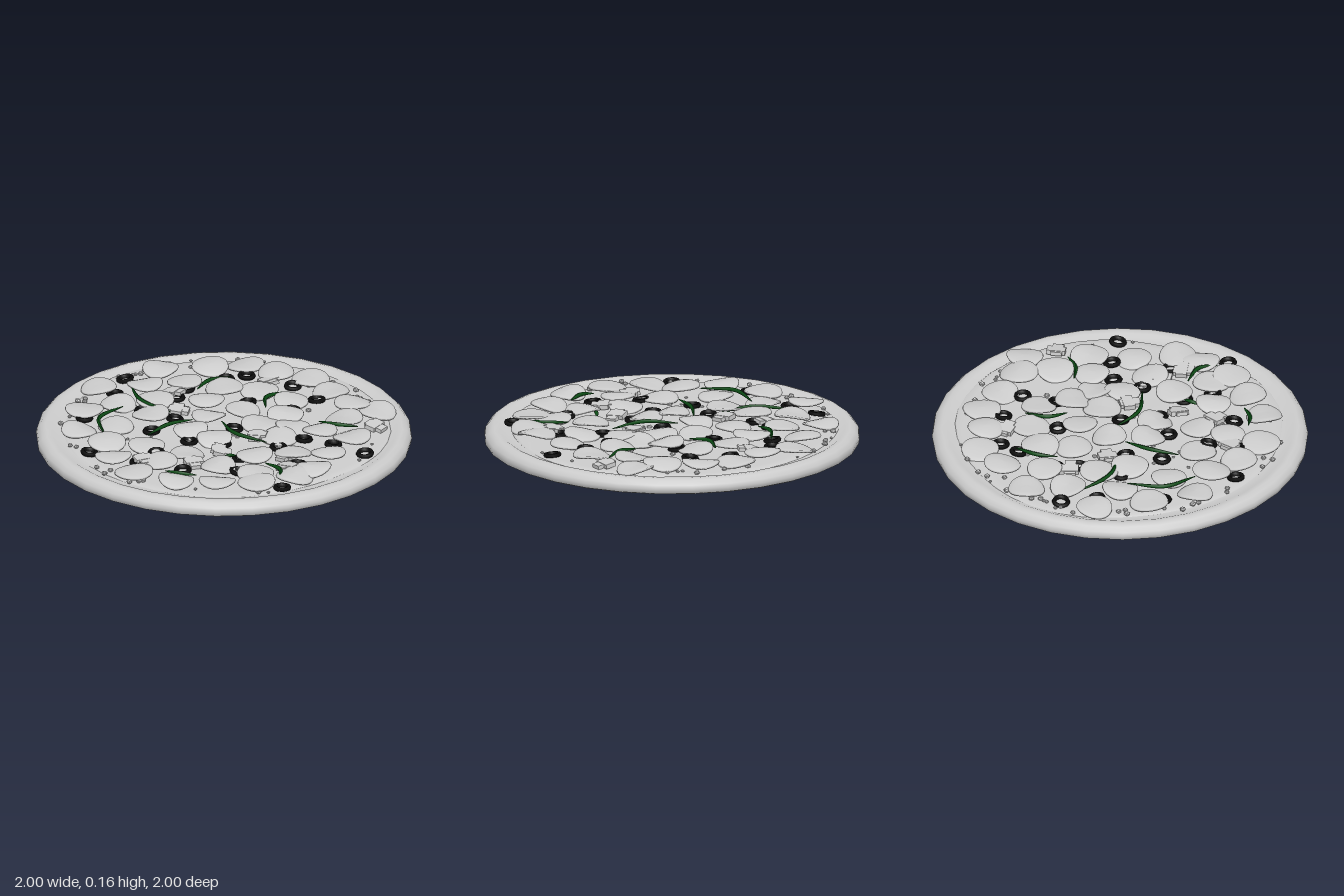
import * as THREE from 'three';

const grey = new THREE.MeshStandardMaterial({ color: 0xcccccc, side: THREE.DoubleSide });
const black = new THREE.MeshStandardMaterial({ color: 0x0c0c0c });
const green = new THREE.MeshStandardMaterial({ color: 0x0b4a14 });
const CHEESE_Y = 0.115;

// Small seeded generator for tilts and scatter
let seed = 7;
const rand = (a = 0, b = 1) => {
  seed = (seed * 16807) % 2147483647;
  return a + (b - a) * (seed / 2147483647);
};
const v2 = pairs => pairs.map(([x, y]) => new THREE.Vector2(x, y));

function add(parent, name, geometry, material, x = 0, y = 0, z = 0) {
  const mesh = new THREE.Mesh(geometry, material);
  mesh.name = name;
  mesh.position.set(x, y, z);
  parent.add(mesh);
  return mesh;
}

function deform(geometry, rule) {
  const p = geometry.attributes.position, v = new THREE.Vector3();
  for (let i = 0; i < p.count; i++) {
    v.fromBufferAttribute(p, i);
    rule(v);
    p.setXYZ(i, v.x, v.y, v.z);
  }
  geometry.computeVertexNormals();
  return geometry;
}

// Thin round slice, slightly domed and curled like a saddle
function sliceGeometry(radius) {
  const profile = [[0, -0.006], [0.6, -0.006], [0.97, -0.006], [1, 0], [0.97, 0.007], [0.7, 0.009], [0.35, 0.01], [0, 0.01]];
  const curl = rand(0.004, 0.013), phase = rand(0, 6.28), dome = rand(0, 0.012);
  return deform(new THREE.LatheGeometry(v2(profile.map(([r, y]) => [r * radius, y])), 24), v => {
    const r = Math.hypot(v.x, v.z) / radius, a = Math.atan2(v.z, v.x);
    v.y += curl * r * r * Math.cos(2 * a + phase) + dome * (1 - r * r);
  });
}

// Centres [x, z] of the toppings
const slices = [
  [-.17, -.8], [.235, -.755], [-.42, -.64], [.035, -.66], [.215, -.545], [.44, -.59], [.605, -.49],
  [-.615, -.47], [-.23, -.58], [-.065, -.47], [-.43, -.38], [-.2, -.36], [-.62, -.245], [.145, -.295],
  [.32, -.345], [.65, -.3], [.43, -.19], [.74, -.125], [-.715, -.09], [-.48, -.085], [-.185, -.06],
  [.01, -.13], [.2, -.07], [.47, .015], [.71, .065], [-.76, .12], [-.57, .12], [-.39, .135],
  [-.16, .1], [.15, .12], [.32, .135], [.685, .27], [-.68, .365], [-.385, .375], [-.15, .405],
  [.11, .315], [.25, .27], [.32, .405], [.52, .375], [.715, .43], [-.525, .52], [-.295, .57],
  [-.375, .665], [-.17, .74], [-.04, .74], [.17, .635], [.4, .57], [.03, .51]
];
const olives = [
  [.02, -.8], [-.145, -.7], [-.475, -.58], [-.18, -.44], [.175, -.49], [.06, -.44], [-.755, -.235],
  [-.325, -.215], [-.13, -.245], [.525, -.395], [.41, -.43], [.3, -.14], [.615, -.13], [-.65, .035],
  [-.5, .015], [-.27, .02], [.02, .06], [.59, .085], [-.16, .165], [.4, .1], [-.545, .27],
  [-.22, .37], [.03, .395], [.2, .41], [-.34, .48], [-.305, .79], [.315, .765], [.27, .565], [-.04, .625]
];
const chunks = [
  [.09, -.49], [-.05, -.3], [-.45, .25], [-.24, .24], [.58, .56], [-.03, .52], [-.62, .04], [.55, -.25], [-.12, .62], [.03, .22]
];
// Start, middle and end of each pepper strip
const strips = [
  [-.04, -.69, -.135, -.5, -.11, -.3], [-.25, -.525, -.45, -.49, -.56, -.33], [-.4, -.165, -.23, -.18, -.09, -.15],
  [.01, -.03, -.05, .14, .005, .335], [.19, -.42, .3, -.45, .43, -.42], [.3, 0, .38, -.085, .51, -.085],
  [-.64, .235, -.62, .31, -.555, .39], [.39, .32, .42, .42, .5, .51], [-.18, .52, -.19, .65, -.27, .725],
  [-.32, .33, -.27, .335, -.23, .345]
];

export function createModel() {
  seed = 7;
  const pizza = new THREE.Group();
  pizza.name = 'pizza';

  // Dough: bowed underside, upright rim, rounded lip and inner slope
  const dough = [
    [0, 0.004], [0.35, 0.01], [0.7, 0.025], [0.98, 0.044], [0.98, 0.044], [0.996, 0.052], [1, 0.075],
    [0.995, 0.095], [0.975, 0.117], [0.95, 0.125], [0.92, 0.122], [0.895, 0.109], [0.85, 0.104], [0, 0.104]
  ];
  add(pizza, 'crust', new THREE.LatheGeometry(v2(dough), 32), grey);

  // Melted cheese with an uneven edge
  const cheese = [[0, CHEESE_Y + 0.004], [0.3, CHEESE_Y + 0.003], [0.6, CHEESE_Y + 0.002], [0.82, CHEESE_Y], [0.86, CHEESE_Y - 0.002], [0.875, 0.1]];
  add(pizza, 'cheese', deform(new THREE.LatheGeometry(v2(cheese.reverse()), 40), v => {
    const a = Math.atan2(v.z, v.x);
    const k = 1 + 0.015 * Math.sin(3 * a) + 0.012 * Math.cos(5 * a + 1);
    v.x = v.x * k + 0.012;
    v.z *= k;
    v.y += 0.003 * Math.sin(v.x * 13) * Math.cos(v.z * 11);
  }), grey);

  // Olive rings
  const oliveRings = new THREE.Group();
  oliveRings.name = 'oliveRings';
  const ringProfile = v2([[0.028, -0.009], [0.044, -0.009], [0.048, 0], [0.044, 0.01], [0.028, 0.01], [0.028, -0.009]]);
  const ring = new THREE.LatheGeometry(ringProfile, 18);
  for (const [x, z] of olives) {
    const m = add(oliveRings, 'oliveRing', ring, black, x, CHEESE_Y + 0.012, z);
    m.rotation.set(rand(-0.15, 0.15), 0, rand(-0.15, 0.15));
  }

  // Meat slices
  const meat = new THREE.Group();
  meat.name = 'meatSlices';
  for (const [x, z] of slices) {
    const m = add(meat, 'meatSlice', sliceGeometry(rand(0.092, 0.104)), grey, x, CHEESE_Y + rand(0.015, 0.026), z);
    m.rotation.set(rand(-0.12, 0.12), 0, rand(-0.12, 0.12));
  }

  // Diced chunks, each a pair of crossed blocks
  const dice = new THREE.Group();
  dice.name = 'dicedChunks';
  for (const [x, z] of chunks) {
    const chunk = new THREE.Group();
    chunk.name = 'dicedChunk';
    add(chunk, 'block', new THREE.BoxGeometry(0.11, 0.02, 0.06), grey);
    add(chunk, 'crossBlock', new THREE.BoxGeometry(0.06, 0.024, 0.1), grey, 0.01, 0, 0.005);
    chunk.position.set(x, CHEESE_Y + 0.02, z);
    chunk.rotation.set(rand(-0.15, 0.15), rand(0, 3), rand(-0.15, 0.15));
    dice.add(chunk);
  }

  // Curved pepper strips, tapering to both ends
  const peppers = new THREE.Group();
  peppers.name = 'pepperStrips';
  for (const [x0, z0, x1, z1, x2, z2] of strips) {
    const y = CHEESE_Y + 0.026;
    const curve = new THREE.CatmullRomCurve3([
      new THREE.Vector3(x0, y, z0), new THREE.Vector3(x1, y + 0.008, z1), new THREE.Vector3(x2, y, z2)
    ]);
    const steps = 14, sides = 8;
    const tube = new THREE.TubeGeometry(curve, steps, 0.011, sides);
    const p = tube.attributes.position;
    for (let i = 0; i < p.count; i++) {
      const t = Math.floor(i / (sides + 1)) / steps, c = curve.getPointAt(t);
      const k = 0.2 + 0.8 * Math.sin(Math.PI * t);
      p.setXYZ(i, c.x + (p.getX(i) - c.x) * k, c.y + (p.getY(i) - c.y) * k, c.z + (p.getZ(i) - c.z) * k);
    }
    tube.computeVertexNormals();
    add(peppers, 'pepperStrip', tube, green);
  }

  // Crumbs, mostly around the edge of the cheese
  const crumbs = new THREE.Group();
  crumbs.name = 'crumbs';
  const crumb = new THREE.IcosahedronGeometry(1, 0);
  for (let i = 0; i < 70; i++) {
    const a = rand(0, Math.PI * 2), r = i < 48 ? rand(0.8, 0.88) : rand(0.1, 0.8), s = rand(0.008, 0.018);
    const m = add(crumbs, 'crumb', crumb, grey, r * Math.cos(a), CHEESE_Y + 0.006, r * Math.sin(a));
    m.scale.set(s, s * 0.8, s);
    m.rotation.y = a * 3;
  }

  pizza.add(oliveRings, meat, dice, peppers, crumbs);
  return pizza;
}
